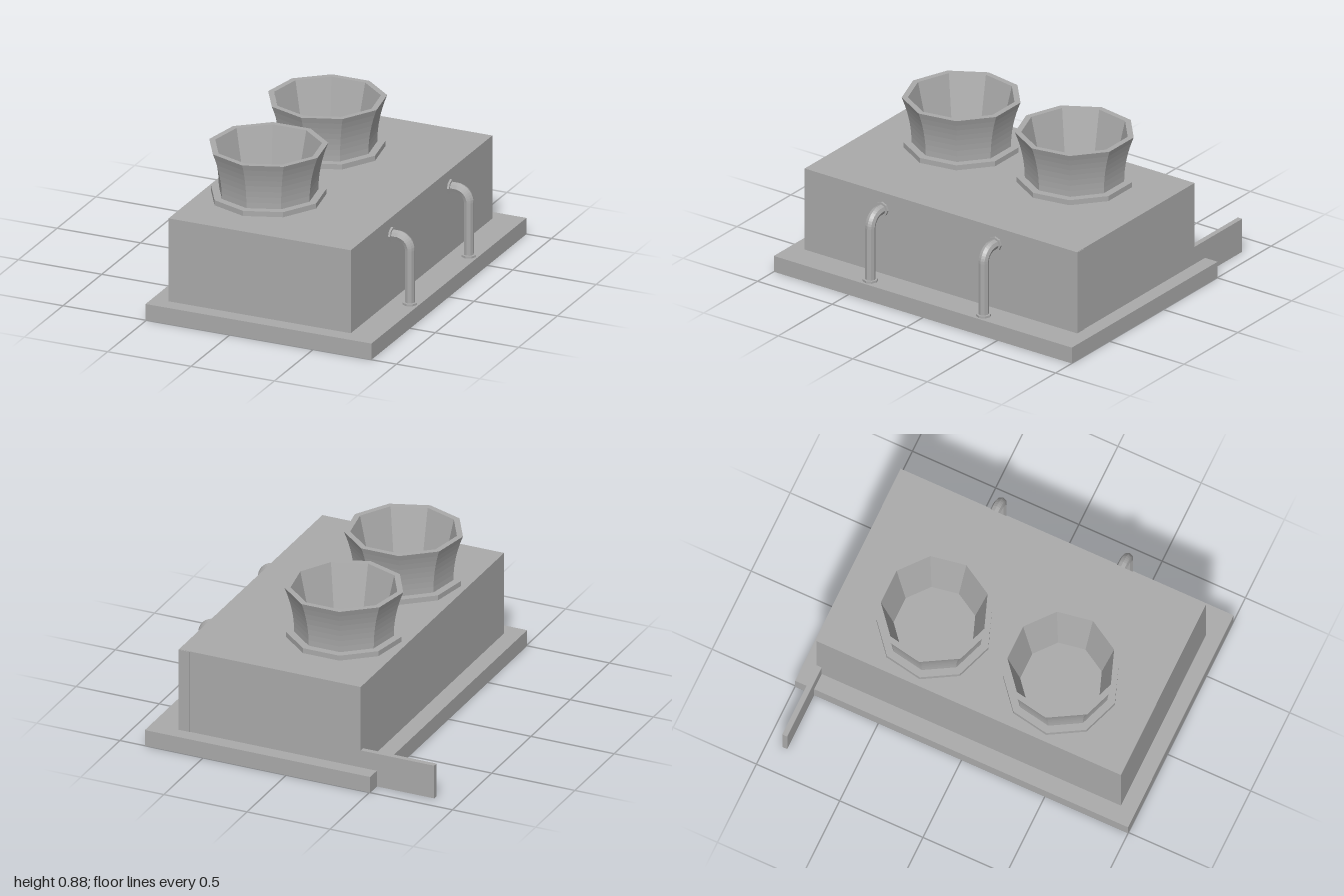
import * as THREE from 'three';

const metal = new THREE.MeshStandardMaterial({ color: 0xaaaaaa, side: THREE.DoubleSide, flatShading: true });
metal.name = 'plainGrey';

function add(parent, name, geometry, x = 0, y = 0, z = 0) {
  const mesh = new THREE.Mesh(geometry, metal);
  mesh.name = name;
  mesh.position.set(x, y, z);
  parent.add(mesh);
  return mesh;
}

// Sheet-metal box without the listed faces (order: +x -x +y -y +z -z)
function shell(w, h, d, missing) {
  const box = new THREE.BoxGeometry(w, h, d);
  const kept = Array.from(box.index.array).filter((_, i) => !missing.includes(Math.floor(i / 6)));
  box.setIndex(kept);
  box.clearGroups();
  return box;
}

function rectangle(target, x0, x1, z0, z1) {
  // shape y becomes -z once laid flat
  target.moveTo(x0, -z1).lineTo(x1, -z1).lineTo(x1, -z0).lineTo(x0, -z0).closePath();
  return target;
}

// Nine-sided fan stack: flange, flared outside, straight tapered inside
function makeFanStack(z) {
  const stack = new THREE.Group();
  stack.name = 'fanStack';
  stack.position.set(-0.055, 0, z);
  const profile = [[0.32, 0.58], [0.32, 0.612], [0.276, 0.612]];
  const bands = 8;
  for (let i = 1; i <= bands; i++) {
    const t = i / bands;
    profile.push([0.276 + 0.054 * t * t, 0.612 + 0.27 * t]);
  }
  profile.push([0.296, 0.882], [0.226, 0.581]);
  add(stack, 'flaredStack', new THREE.LatheGeometry(profile.map(p => new THREE.Vector2(...p)), 9));
  return stack;
}

// Elbow pipe from the wall down to the base, with a collar at each end
function makePipe(z) {
  const pipe = new THREE.Group();
  pipe.name = 'pipe';
  pipe.position.z = z;
  const px = 0.797, py = 0.485, bend = 0.065, r = 0.029;
  const v = (x, y) => new THREE.Vector3(x, y, 0);
  const path = new THREE.CurvePath();
  path.add(new THREE.LineCurve3(v(0.685, py), v(px - bend, py)));
  path.add(new THREE.QuadraticBezierCurve3(v(px - bend, py), v(px - 0.01, py - 0.01), v(px, py - bend)));
  path.add(new THREE.LineCurve3(v(px, py - bend), v(px, 0.095)));
  add(pipe, 'elbowPipe', new THREE.TubeGeometry(path, 40, r, 8));
  add(pipe, 'baseCollar', new THREE.CylinderGeometry(0.042, 0.042, 0.012, 8), px, 0.101, 0);
  add(pipe, 'wallCollar', new THREE.CylinderGeometry(0.042, 0.042, 0.012, 8), 0.691, py, 0).rotation.z = Math.PI / 2;
  return pipe;
}

export function createModel() {
  const model = new THREE.Group();
  model.name = 'coolingUnit';

  // Base: skirt open below, with a ledge around the housing
  add(model, 'baseSkirt', shell(1.355, 0.095, 2, [2, 3]), 0.1725, 0.0475, 0);
  const ledge = rectangle(new THREE.Shape(), -0.505, 0.85, -1, 1);
  ledge.holes.push(rectangle(new THREE.Path(), -0.408, 0.685, -0.915, 0.912));
  add(model, 'baseLedge', new THREE.ShapeGeometry(ledge).rotateX(-Math.PI / 2), 0, 0.095, 0);

  // Hollow housing
  add(model, 'housing', shell(1.093, 0.487, 1.827, [3]), 0.1385, 0.3385, -0.0015);
  add(model, 'cornerStrip', new THREE.BoxGeometry(0.065, 0.485, 0.004), 0.6525, 0.3375, -0.916);

  // Low side plate
  add(model, 'sidePlate', new THREE.BoxGeometry(0.442, 0.198, 0.03), -0.629, 0.099, -0.9);

  for (const z of [0.39, -0.37]) {
    model.add(makeFanStack(z), makePipe(z));
  }
  return model;
}
